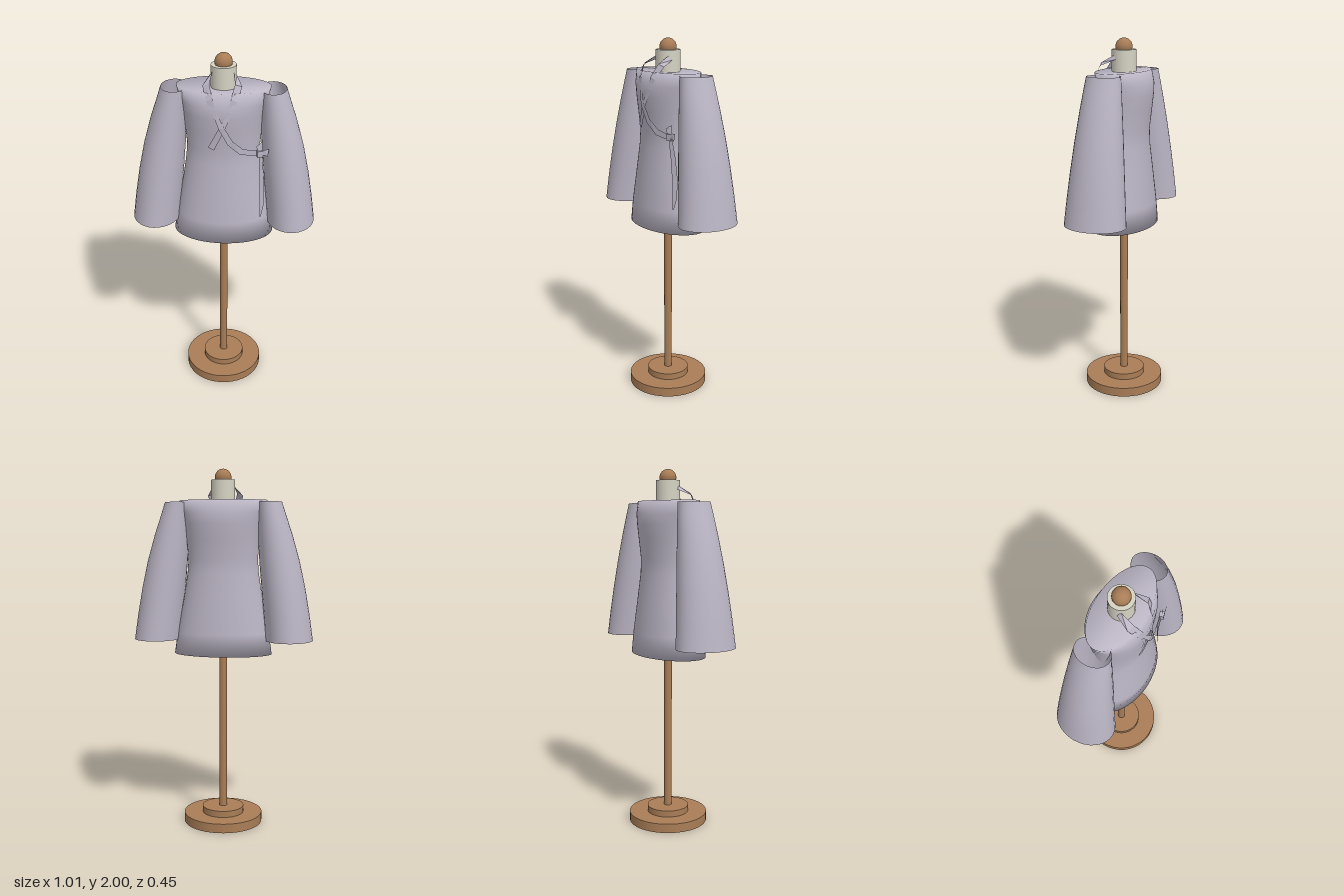
import * as THREE from 'three';

const wood = new THREE.MeshStandardMaterial({ color: 0xa97d56 });
wood.name = 'wood';
const cream = new THREE.MeshStandardMaterial({ color: 0xd6d3c4 });
cream.name = 'cream';
const cloth = new THREE.MeshStandardMaterial({ color: 0xbbb5c4, side: THREE.DoubleSide });
cloth.name = 'greyCloth';

// Smooth loft through horizontal ellipses [y, centreX, radiusX, radiusZ], listed upwards
function loft(sections, segs, capped) {
  const pos = [], idx = [];
  for (const [y, cx, rx, rz] of sections)
    for (let j = 0; j < segs; j++) {
      const a = (j / segs) * Math.PI * 2;
      pos.push(cx + rx * Math.cos(a), y, rz * Math.sin(a));
    }
  const last = (sections.length - 1) * segs;
  for (let i = 0; i < last; i += segs)
    for (let j = 0; j < segs; j++) {
      const k = (j + 1) % segs;
      idx.push(i + j, i + segs + j, i + k, i + k, i + segs + j, i + segs + k);
    }
  if (capped) {
    const c = pos.length / 3;
    pos.push(0, sections[0][0], 0, 0, sections[sections.length - 1][0] - 0.01, 0);
    for (let j = 0; j < segs; j++) {
      const k = (j + 1) % segs;
      idx.push(c, j, k, c + 1, last + k, last + j);
    }
  }
  const g = new THREE.BufferGeometry();
  g.setAttribute('position', new THREE.Float32BufferAttribute(pos, 3));
  g.setIndex(idx);
  g.computeVertexNormals();
  return g;
}

// Flat band along a path, lying against the elliptical torso
function ribbon(points, widths) {
  const pts = points.map((p) => new THREE.Vector3(...p));
  const pos = [], idx = [];
  pts.forEach((p, i) => {
    const tangent = pts[Math.min(i + 1, pts.length - 1)].clone().sub(pts[Math.max(i - 1, 0)]);
    const outward = new THREE.Vector3(p.x / 0.05, 0, p.z / 0.02);
    const side = tangent.cross(outward).normalize().multiplyScalar(widths[i] / 2);
    pos.push(...p.clone().add(side).toArray(), ...p.clone().sub(side).toArray());
    if (i) idx.push(2 * i - 2, 2 * i - 1, 2 * i, 2 * i, 2 * i - 1, 2 * i + 1);
  });
  let g = new THREE.BufferGeometry();
  g.setAttribute('position', new THREE.Float32BufferAttribute(pos, 3));
  g.setIndex(idx);
  g = g.toNonIndexed();
  g.computeVertexNormals();
  return g;
}

export function createModel() {
  const model = new THREE.Group();
  model.name = 'garmentOnStand';
  const add = (name, geometry, material, x = 0, y = 0, z = 0) => {
    const m = new THREE.Mesh(geometry, material);
    m.name = name;
    m.position.set(x, y, z);
    model.add(m);
    return m;
  };
  const disc = (name, r, y0, y1, material, segs = 32) =>
    add(name, new THREE.CylinderGeometry(r, r, y1 - y0, segs), material, 0, (y0 + y1) / 2, 0);

  // Stand
  disc('base', 0.223, 0, 0.052, wood, 40);
  disc('baseStep', 0.118, 0.052, 0.088, wood);
  disc('pole', 0.022, 0.088, 1.2, wood, 20);
  disc('neck', 0.066, 1.79, 1.94, cream);
  add('finial', new THREE.SphereGeometry(0.046, 24, 16), wood, 0, 1.954, 0);

  // Garment body, waisted and flaring to the hem
  add('tunicBody', loft([
    [0.98, 0, 0.275, 0.175],
    [1.1, 0, 0.258, 0.167],
    [1.3, 0, 0.22, 0.147],
    [1.43, 0, 0.2, 0.132],
    [1.51, 0, 0.194, 0.13],
    [1.62, 0, 0.204, 0.143],
    [1.7, 0, 0.214, 0.151],
    [1.76, 0, 0.226, 0.151],
    [1.83, 0, 0.245, 0.127],
  ], 48, true), cloth);

  // Wide open sleeves, bowed outwards
  for (const s of [1, -1]) {
    add(s > 0 ? 'leftSleeve' : 'rightSleeve', loft([
      [1.06, s * 0.372, 0.132, 0.17],
      [1.2, s * 0.357, 0.127, 0.158],
      [1.35, s * 0.337, 0.121, 0.144],
      [1.5, s * 0.314, 0.111, 0.129],
      [1.65, s * 0.288, 0.094, 0.113],
      [1.74, s * 0.271, 0.08, 0.103],
      [1.82, s * 0.255, 0.07, 0.093],
    ], 32, false), cloth);

    // Collar flap from the neck down to the chest
    add(s > 0 ? 'leftCollar' : 'rightCollar', ribbon([
      [s * 0.062, 1.9, 0.025],
      [s * 0.082, 1.865, 0.098],
      [s * 0.062, 1.8, 0.138],
      [s * 0.042, 1.74, 0.149],
    ], [0.03, 0.04, 0.035, 0.03]), cloth);
  }

  // Crossed front bands; the longer one runs to the side knot
  add('shortBand', ribbon([
    [0.042, 1.74, 0.149], [0.005, 1.66, 0.158], [-0.055, 1.535, 0.142],
  ], [0.02, 0.03, 0.034]), cloth);
  add('longBand', ribbon([
    [-0.042, 1.75, 0.149], [0, 1.66, 0.164], [0.045, 1.575, 0.156],
    [0.1, 1.522, 0.138], [0.16, 1.508, 0.122], [0.205, 1.508, 0.118],
  ], [0.02, 0.03, 0.032, 0.034, 0.03, 0.03]), cloth);

  // Side knot with loop ends and a hanging tail
  const knot = add('knot', new THREE.BoxGeometry(0.03, 0.034, 0.025), cloth, 0.195, 1.508, 0.122);
  knot.rotation.y = 0.3;
  add('knotEnd', ribbon([
    [0.2, 1.508, 0.128], [0.222, 1.515, 0.126], [0.24, 1.512, 0.122],
  ], [0.018, 0.034, 0.04]), cloth);
  add('knotLoop', ribbon([
    [0.197, 1.51, 0.126], [0.188, 1.55, 0.128], [0.2, 1.568, 0.122], [0.206, 1.51, 0.122],
  ], [0.014, 0.024, 0.02, 0.014]), cloth);
  add('sashTail', ribbon([
    [0.2, 1.505, 0.122], [0.206, 1.4, 0.108], [0.212, 1.28, 0.1], [0.212, 1.18, 0.102], [0.206, 1.12, 0.108],
  ], [0.02, 0.026, 0.03, 0.026, 0.01]), cloth);

  return model;
}
